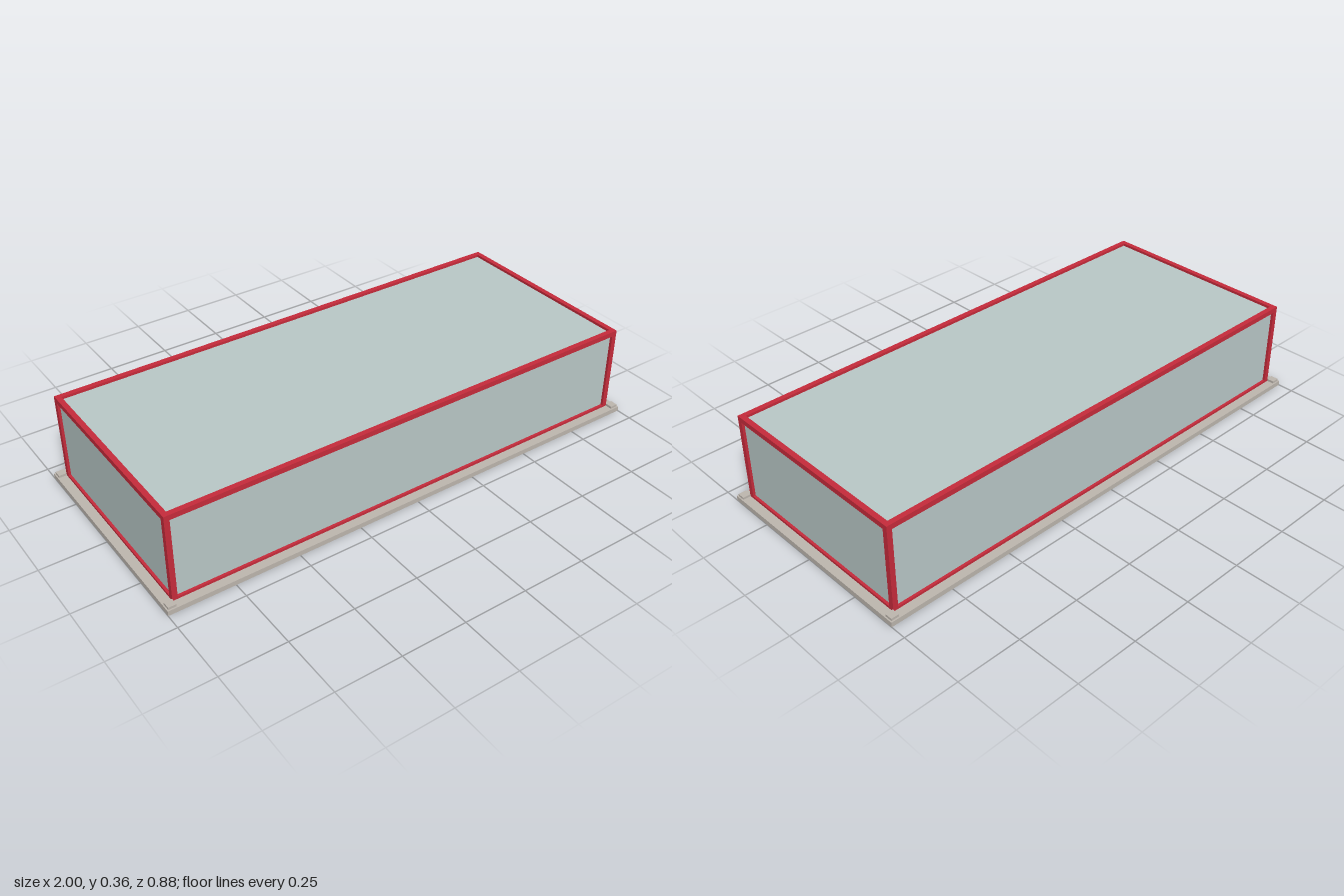
import * as THREE from 'three';

const BASE_TOP = 0.019, TOP = 0.362, BAR = 0.02;
const HX = 0.965, HZ = 0.404; // half extents of the frame
const BOTTOM = 0.008;         // lower rails are partly sunk in the plinth

export function createModel() {
  const model = new THREE.Group();
  model.name = 'framedCase';
  const stone = new THREE.MeshStandardMaterial({ color: 0xbdb6ae });
  stone.name = 'warm grey';
  const red = new THREE.MeshStandardMaterial({ color: 0xc62b3b });
  red.name = 'frame red';
  const glass = new THREE.MeshStandardMaterial({ color: 0xb9c8c7 });
  glass.name = 'pale glass';

  const box = (name, mat, w, h, d, x, y, z) => {
    const mesh = new THREE.Mesh(new THREE.BoxGeometry(w, h, d), mat);
    mesh.name = name;
    mesh.position.set(x, y, z);
    model.add(mesh);
  };

  // plinth
  box('plinth', stone, 2, BASE_TOP, 0.876, 0, BASE_TOP / 2, 0);

  // glazed body, set back slightly from the frame
  const inset = 0.01;
  const bodyTop = TOP - inset;
  box('glassBody', glass, 2 * (HX - inset), bodyTop - BASE_TOP, 2 * (HZ - inset),
    0, (bodyTop + BASE_TOP) / 2, 0);

  const cx = HX - BAR / 2, cz = HZ - BAR / 2;
  const levels = [['lower', BOTTOM + BAR / 2], ['upper', TOP - BAR / 2]];

  for (const s of [-1, 1]) {
    // horizontal rails
    for (const [level, y] of levels) {
      box(level + 'LongRail', red, 2 * (HX - BAR), BAR, BAR, 0, y, s * cz);
      box(level + 'ShortRail', red, BAR, BAR, 2 * (HZ - BAR), s * cx, y, 0);
    }
    // corner posts and the small feet on the plinth corners
    for (const t of [-1, 1]) {
      box('cornerPost', red, BAR, TOP - BOTTOM, BAR, s * cx, (TOP + BOTTOM) / 2, t * cz);
      box('cornerFoot', stone, 0.03, 0.014, 0.03, s * 0.98, 0.021, t * 0.417);
    }
  }
  return model;
}
